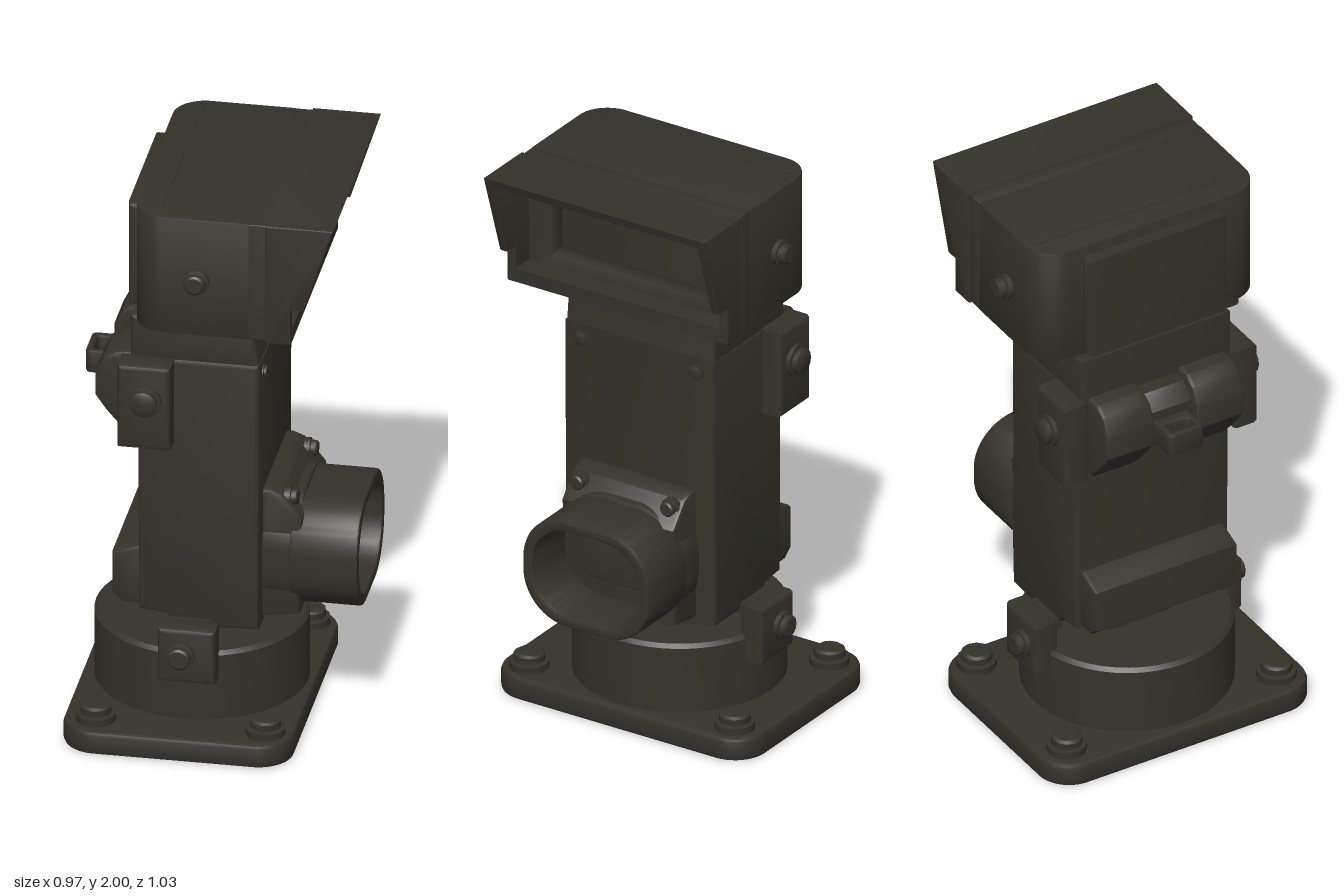
import * as THREE from 'three';
import { toCreasedNormals } from 'three/addons/utils/BufferGeometryUtils.js';

const olive = new THREE.MeshStandardMaterial({ color: 0x33322a });
olive.name = 'dark olive paint';

// closed polygon from corner pairs
const poly = (pts) => new THREE.Shape(pts.map(([x, y]) => new THREE.Vector2(x, y)));

// rounded rectangle; r may differ for the left (rl) and right (rr) corners
function roundRect(x0, y0, x1, y1, rl, rr = rl, Type = THREE.Shape) {
  const s = new Type();
  s.absarc(x1 - rr, y0 + rr, rr, -Math.PI / 2, 0);
  s.absarc(x1 - rr, y1 - rr, rr, 0, Math.PI / 2);
  s.absarc(x0 + rl, y1 - rl, rl, Math.PI / 2, Math.PI);
  s.absarc(x0 + rl, y0 + rl, rl, Math.PI, Math.PI * 1.5);
  s.closePath();
  return s;
}

// extrusion from 'from' to 'to' along an axis, with softened edges
function prism(shape, axis, from, to, bevel = 0.012) {
  const g = new THREE.ExtrudeGeometry(shape, {
    depth: to - from - 2 * bevel, bevelEnabled: bevel > 0, bevelThickness: bevel,
    bevelSize: bevel, bevelOffset: -bevel, bevelSegments: 2, curveSegments: 10,
  });
  g.translate(0, 0, from + bevel);
  if (axis === 'y') g.rotateX(-Math.PI / 2);
  if (axis === 'x') g.rotateY(Math.PI / 2);
  return toCreasedNormals(g, 0.5);
}

const block = (x0, x1, y0, y1, z0, z1, bevel = 0.012) =>
  prism(poly([[x0, y0], [x1, y0], [x1, y1], [x0, y1]]), 'z', z0, z1, bevel);

// washer with a chamfered head, pointing up
function boltGeo(r, h, sides = 12) {
  const p = [[0, 0], [r, 0], [r, h * 0.45], [r * 0.78, h * 0.5], [r * 0.78, h * 0.88], [r * 0.62, h], [0, h]];
  return toCreasedNormals(new THREE.LatheGeometry(p.map(([x, y]) => new THREE.Vector2(x, y)), sides), 0.6);
}

export function createModel() {
  const model = new THREE.Group();
  model.name = 'periscope';
  const add = (name, geo, x = 0, y = 0, z = 0) => {
    const m = new THREE.Mesh(geo, olive);
    m.name = name;
    m.position.set(x, y, z);
    model.add(m);
    return m;
  };
  const sideBolt = (name, r, h, x, y, z, s) => {
    add(name, boltGeo(r, h), x, y, s * z).rotation.x = s * Math.PI / 2;
  };
  const frontBolt = (name, r, h, x, y, z) => {
    add(name, boltGeo(r, h), x, y, z).rotation.z = -Math.PI / 2;
  };

  // mounting base
  add('basePlate', prism(roundRect(-0.485, -0.515, 0.295, 0.515, 0.12), 'y', 0, 0.085, 0.015));
  for (const x of [-0.375, 0.2])
    for (const z of [-0.41, 0.41]) add('baseBolt', boltGeo(0.068, 0.06), x, 0.083, z);
  const drum = [[0, 0.08], [0.36, 0.08], [0.36, 0.322], [0.347, 0.335], [0, 0.335]];
  add('baseDrum', toCreasedNormals(new THREE.LatheGeometry(
    drum.map(([x, y]) => new THREE.Vector2(x, y)), 48), 0.5), -0.09, 0, 0);
  add('swivelNeck', prism(roundRect(-0.17, -0.17, 0.085, 0.17, 0.08), 'y', 0.32, 0.43, 0));

  // main column
  add('column', prism(poly([[-0.25, 0.45], [-0.16, 0.44], [-0.12, 0.4], [0.155, 0.405],
    [0.16, 1.4], [-0.257, 1.4]]), 'z', -0.3, 0.3, 0.016));
  add('upperNeck', prism(poly([[-0.28, 1.38], [0.158, 1.38], [0.14, 1.55], [-0.28, 1.55]]), 'z', -0.295, 0.295, 0.016));
  add('headCollar', block(-0.24, 0.17, 1.535, 1.575, -0.35, 0.35));
  for (const z of [-0.23, 0.23]) frontBolt('columnScrew', 0.03, 0.02, 0.155, 1.345, z);

  // clamps on both sides
  for (const s of [-1, 1]) {
    const span = (a, b) => (s > 0 ? [a, b] : [-b, -a]);
    add('upperClamp', block(-0.31, -0.13, 1.09, 1.4, ...span(0.28, 0.378), 0.015));
    sideBolt('upperClampBolt', 0.058, 0.045, -0.215, 1.275, 0.372, s);
    add('lowerClamp', block(-0.168, 0.027, 0.24, 0.44, ...span(0.315, 0.405), 0.015));
    add('lowerClampTab', block(-0.14, 0, 0.39, 0.435, ...span(0.28, 0.33)));
    sideBolt('lowerClampBolt', 0.05, 0.045, -0.09, 0.345, 0.4, s);
    sideBolt('headPivotBolt', 0.045, 0.05, -0.03, 1.77, 0.427, s);

    // rear hinge halves
    add('rearHinge', prism(poly([[-0.24, 1.09], [-0.3, 1.09], [-0.37, 1.17], [-0.405, 1.22], [-0.405, 1.31],
      [-0.375, 1.37], [-0.33, 1.395], [-0.24, 1.4]].reverse()), 'z', ...span(0.08, 0.27), 0.015));
  }
  add('hingeCentre', prism(poly([[-0.24, 1.12], [-0.28, 1.12], [-0.37, 1.21], [-0.37, 1.32],
    [-0.32, 1.37], [-0.24, 1.37]].reverse()), 'z', -0.1, 0.1));

  // rear pull ring
  const ring = roundRect(-0.475, -0.07, -0.34, 0.07, 0.02);
  ring.holes.push(roundRect(-0.452, -0.045, -0.405, 0.045, 0.012, 0.012, THREE.Path));
  add('pullRing', prism(ring, 'y', 1.2, 1.285, 0.008));

  // lower rear box
  add('rearBox', prism(poly([[-0.23, 0.46], [-0.31, 0.46], [-0.345, 0.49], [-0.345, 0.645],
    [-0.25, 0.68], [-0.23, 0.68]].reverse()), 'z', -0.28, 0.28, 0.015));

  // eyepiece
  add('eyepieceMount', prism(poly([[0.14, 0.42], [0.28, 0.44], [0.29, 0.8], [0.22, 0.885],
    [0.18, 0.9], [0.14, 0.9]]), 'z', -0.225, 0.225, 0.015));
  for (const z of [-0.18, 0.18]) frontBolt('eyepieceBolt', 0.034, 0.045, 0.225, 0.86, z);
  add('eyepieceFlange', prism(roundRect(-0.24, 0.42, 0.24, 0.85, 0.18), 'x', 0.15, 0.28));
  const tube = roundRect(-0.253, 0.44, 0.253, 0.835, 0.175);
  tube.holes.push(roundRect(-0.212, 0.48, 0.212, 0.795, 0.145, 0.145, THREE.Path));
  add('eyepieceTube', prism(tube, 'x', 0.25, 0.482, 0.01));
  add('eyepieceLens', prism(roundRect(-0.13, 0.55, 0.13, 0.73, 0.04), 'x', 0.28, 0.31, 0.008));

  // head housing and window
  add('headHousing', prism(roundRect(-0.25, -0.432, 0.15, 0.432, 0.11, 0.005), 'y', 1.565, 1.997, 0.002));
  add('headRearPanel', block(-0.292, -0.23, 1.57, 1.955, -0.27, 0.27, 0.018));
  const frame = roundRect(-0.432, 1.565, 0.432, 1.997, 0.005);
  frame.holes.push(roundRect(-0.31, 1.65, 0.31, 1.92, 0.015, 0.015, THREE.Path));
  add('windowFrame', prism(frame, 'x', 0.146, 0.21, 0.002));
  add('window', block(0.148, 0.157, 1.665, 1.905, -0.295, 0.295, 0.003));
  add('roofRib', block(-0.163, -0.157, 1.994, 2, -0.4, 0.37, 0));

  // hood around the window
  const cheek = [[0.205, 1.56], [0.29, 1.56], [0.29, 1.69], [0.335, 1.69], [0.435, 2], [0.205, 2]];
  add('hoodLeftCheek', prism(poly(cheek), 'z', 0.405, 0.44, 0.006));
  add('hoodRightCheek', prism(poly(cheek), 'z', -0.44, -0.405, 0.006));
  add('hoodRoof', prism(poly([[0.205, 1.968], [0.424, 1.968], [0.435, 2], [0.205, 2]]), 'z', -0.438, 0.438, 0.005));
  add('hoodSill', block(0.205, 0.29, 1.56, 1.61, -0.438, 0.438, 0.006));

  return model;
}
